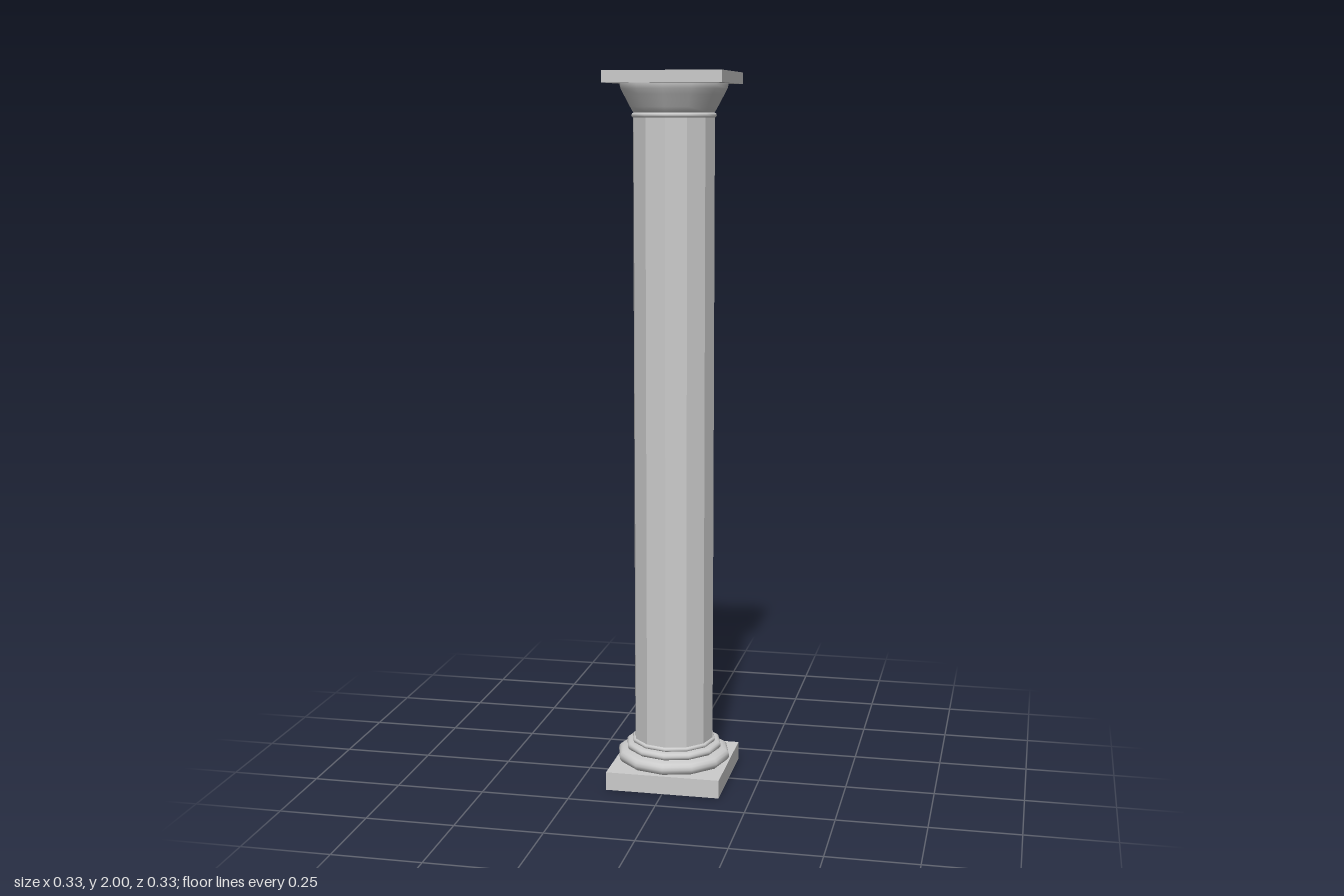
import * as THREE from 'three';

const SIDES = 12;

function makeMaterial(flat = false, side = THREE.FrontSide) {
  return new THREE.MeshStandardMaterial({ color: 0xcccccc, flatShading: flat, side });
}

// Turned part from [radius, height] points listed bottom to top
function turned(name, points, flat = false) {
  const profile = points.map(([r, y]) => new THREE.Vector2(r, y));
  const mesh = new THREE.Mesh(new THREE.LatheGeometry(profile, SIDES), makeMaterial(flat, THREE.DoubleSide));
  mesh.name = name;
  return mesh;
}

// Points along a half-round bulge between two heights
function bulge(radius, y0, y1, steps = 6) {
  const h = (y1 - y0) / 2;
  return Array.from({ length: steps + 1 }, (_, i) => {
    const a = -Math.PI / 2 + (Math.PI * i) / steps;
    return [radius - h + h * Math.cos(a), (y0 + y1) / 2 + h * Math.sin(a)];
  });
}

export function createModel() {
  const column = new THREE.Group();
  column.name = 'column';
  const width = 0.324;

  // Square plinth, hollow and open underneath
  const plinthGeometry = new THREE.BoxGeometry(width, 0.052, width);
  const index = Array.from(plinthGeometry.index.array);
  index.splice(18, 6); // drop the bottom face
  plinthGeometry.setIndex(index);
  plinthGeometry.clearGroups();
  const plinth = new THREE.Mesh(plinthGeometry, makeMaterial(true, THREE.DoubleSide));
  plinth.name = 'plinth';
  plinth.position.y = 0.026;
  column.add(plinth);

  // Rounded base mouldings
  column.add(turned('lowerMoulding', [...bulge(0.163, 0.052, 0.086), [0.136, 0.088]]));
  column.add(turned('upperMoulding', [[0.136, 0.086], ...bulge(0.138, 0.088, 0.108), [0.12, 0.109]]));
  column.add(turned('baseCollar', [[0.121, 0.106], ...bulge(0.121, 0.108, 0.12, 4), [0.11, 0.12]]));

  // Faceted shaft
  column.add(turned('shaft', [[0.114, 0.115], [0.114, 1.882]], true));

  // Capital: collar, flaring bell and square slab
  column.add(turned('neckCollar', [[0.108, 1.876], ...bulge(0.119, 1.876, 1.89, 4), [0.108, 1.89]]));
  column.add(turned('bell', [
    [0.108, 1.887], [0.115, 1.893], [0.122, 1.905], [0.131, 1.922],
    [0.14, 1.938], [0.148, 1.953], [0.151, 1.963], [0.151, 1.97],
  ]));
  const slab = new THREE.Mesh(new THREE.BoxGeometry(width, 0.032, width), makeMaterial(true));
  slab.name = 'capitalSlab';
  slab.position.y = 1.984;
  column.add(slab);

  return column;
}
